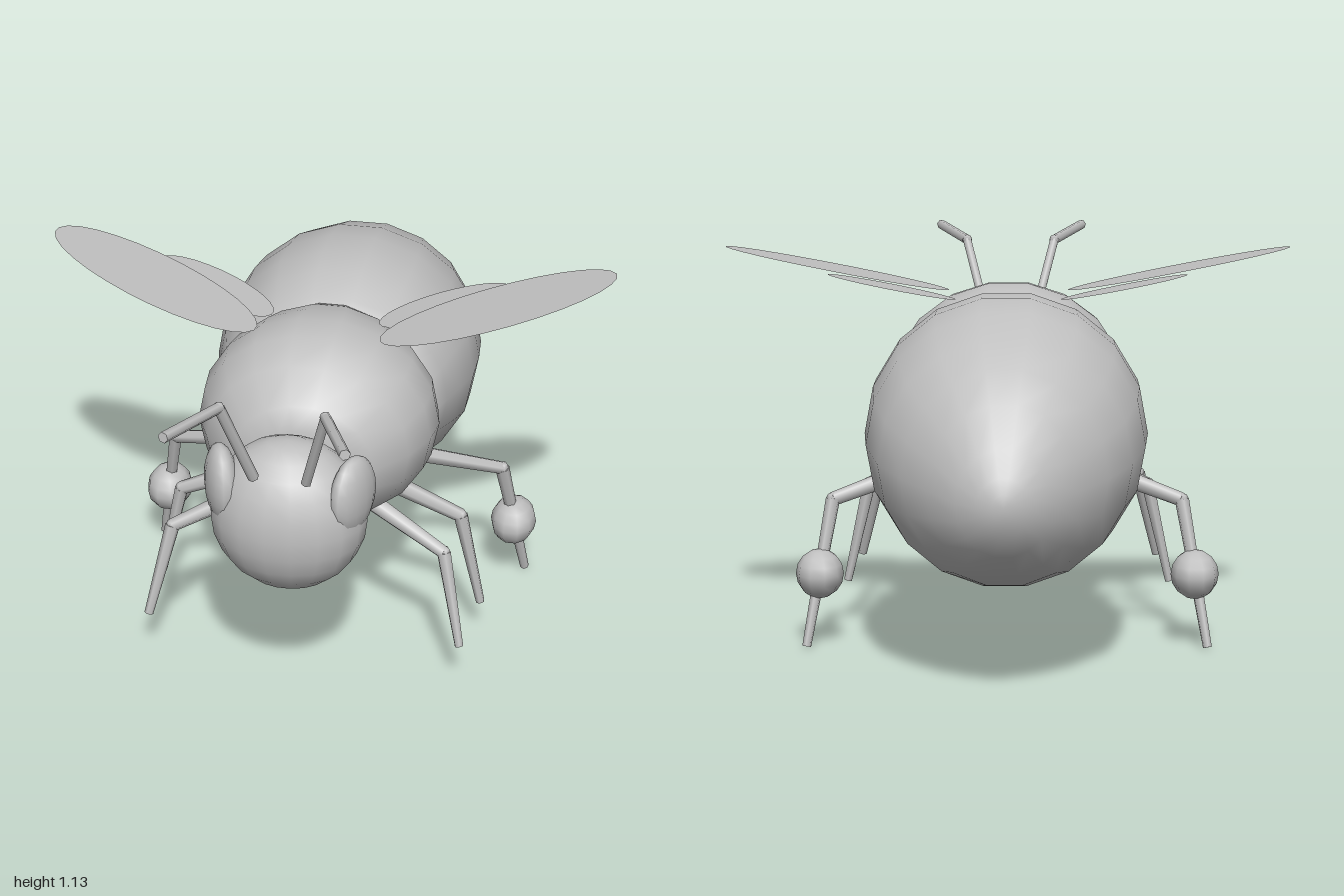
import * as THREE from 'three';

const bodyGrey = new THREE.MeshStandardMaterial({ color: 0xc0c0c0 });
bodyGrey.name = 'bodyGrey';
const wingGrey = bodyGrey.clone();
wingGrey.name = 'wingGrey';
wingGrey.side = THREE.DoubleSide;

// Closed smooth body from sections [z, top, bottom, halfWidth], front to back
function sectionBody(sections, sides = 18) {
  const pos = [], index = [];
  for (const [z, top, bottom, w] of sections) {
    for (let j = 0; j < sides; j++) {
      const t = (j / sides) * Math.PI * 2;
      pos.push(w * Math.cos(t), (top + bottom) / 2 + ((top - bottom) / 2) * Math.sin(t), z);
    }
  }
  const n = sections.length, front = n * sides, back = front + 1;
  for (const s of [sections[0], sections[n - 1]]) pos.push(0, (s[1] + s[2]) / 2, s[0]);
  for (let j = 0; j < sides; j++) {
    const k = (j + 1) % sides, last = (n - 1) * sides;
    for (let i = 0; i < n - 1; i++) {
      const a = i * sides + j, b = i * sides + k, c = a + sides, d = b + sides;
      index.push(a, c, b, b, c, d);
    }
    index.push(front, j, k, back, last + k, last + j);
  }
  const geo = new THREE.BufferGeometry();
  geo.setAttribute('position', new THREE.Float32BufferAttribute(pos, 3));
  geo.setIndex(index);
  geo.computeVertexNormals();
  return geo;
}

function add(parent, name, geometry, material = bodyGrey) {
  const mesh = new THREE.Mesh(geometry, material);
  mesh.name = name;
  parent.add(mesh);
  return mesh;
}

function ellipsoid(parent, name, center, radii, ws = 18, hs = 12) {
  const mesh = add(parent, name, new THREE.SphereGeometry(1, ws, hs));
  mesh.position.set(...center);
  mesh.scale.set(...radii);
  return mesh;
}

// Six-sided tapered rod between two points
function rod(parent, name, from, to, r0, r1) {
  const a = new THREE.Vector3(...from), b = new THREE.Vector3(...to);
  const dir = b.clone().sub(a);
  const geo = new THREE.CylinderGeometry(r1, r0, dir.length(), 6);
  const mesh = add(parent, name, geo);
  mesh.position.copy(a).add(b).multiplyScalar(0.5);
  mesh.quaternion.setFromUnitVectors(new THREE.Vector3(0, 1, 0), dir.normalize());
}

// Flat elliptical wing, swept back and rising outwards
function wing(parent, name, side, [cx, cz], length, width, lift) {
  const geo = new THREE.CircleGeometry(1, 28);
  geo.scale(length, width, 1);
  geo.rotateX(-Math.PI / 2);
  geo.rotateY(0.385);
  geo.translate(cx, 0, cz);
  const p = geo.attributes.position;
  for (let i = 0; i < p.count; i++) {
    p.setY(i, lift + 0.225 * p.getX(i));
  }
  geo.computeVertexNormals();
  if (side < 0) {
    // Mirror across x and restore the face order
    geo.scale(-1, 1, 1);
    geo.index.array.reverse();
    geo.computeVertexNormals();
  }
  add(parent, name, geo, wingGrey);
}

export function createModel() {
  const bee = new THREE.Group();
  bee.name = 'insect';

  // Body
  add(bee, 'abdomen', sectionBody([
    [0.02, 0.82, 0.47, 0.24], [-0.04, 0.92, 0.41, 0.31], [-0.1, 0.965, 0.365, 0.335],
    [-0.2, 1.0, 0.31, 0.362], [-0.3, 1.012, 0.272, 0.385], [-0.42, 1.008, 0.263, 0.386],
    [-0.55, 0.98, 0.26, 0.375], [-0.7, 0.92, 0.263, 0.335], [-0.8, 0.855, 0.285, 0.27],
    [-0.88, 0.775, 0.33, 0.2], [-0.95, 0.67, 0.39, 0.125], [-0.985, 0.6, 0.45, 0.07],
    [-1.0, 0.56, 0.49, 0.03],
  ]));
  add(bee, 'thorax', sectionBody([
    [0.41, 0.82, 0.58, 0.12], [0.38, 0.88, 0.52, 0.2], [0.3, 0.96, 0.46, 0.285],
    [0.2, 1.0, 0.42, 0.33], [0.1, 1.005, 0.4, 0.34], [0.02, 0.99, 0.415, 0.325],
    [-0.05, 0.97, 0.46, 0.28], [-0.085, 0.955, 0.52, 0.22],
  ]));
  ellipsoid(bee, 'head', [0, 0.66, 0.565], [0.215, 0.223, 0.165]);

  // Hip, knee and foot of each leg on the left side
  const legs = {
    frontLeg: [[0.16, 0.52, 0.24], [0.39, 0.41, 0.31], [0.45, 0.15, 0.385]],
    middleLeg: [[0.16, 0.52, 0.11], [0.41, 0.41, 0.11], [0.475, 0.12, 0.11]],
    backLeg: [[0.16, 0.52, -0.04], [0.495, 0.41, -0.17], [0.565, 0.005, -0.27]],
  };

  for (const side of [1, -1]) {
    const label = side > 0 ? 'left' : 'right';
    const half = new THREE.Group();
    half.name = label + 'Side';
    bee.add(half);
    const m = ([x, y, z]) => [side * x, y, z];

    for (const [name, [hip, knee, foot]] of Object.entries(legs)) {
      rod(half, name + 'Upper', m(hip), m(knee), 0.028, 0.02);
      rod(half, name + 'Lower', m(knee), m(foot), 0.021, 0.013);
      ellipsoid(half, name + 'Knee', m(knee), [0.02, 0.02, 0.02], 6, 4);
    }
    ellipsoid(half, 'pollenBall', m([0.53, 0.205, -0.217]), [0.068, 0.07, 0.086], 10, 8);

    const eye = ellipsoid(half, 'eye', m([0.178, 0.75, 0.59]), [0.045, 0.113, 0.092], 14, 10);
    eye.rotation.y = -side * 0.4;

    const base = [0.07, 0.83, 0.68], bend = [0.138, 1.085, 0.768], tip = [0.228, 1.12, 0.995];
    rod(half, 'antennaLower', m(base), m(bend), 0.015, 0.015);
    rod(half, 'antennaUpper', m(bend), m(tip), 0.015, 0.015);
    ellipsoid(half, 'antennaJoint', m(bend), [0.016, 0.016, 0.016], 6, 4);

    wing(half, 'foreWing', side, [0.487, 0.032], 0.335, 0.132, 0.94);
    wing(half, 'hindWing', side, [0.33, -0.043], 0.19, 0.09, 0.928);
  }
  return bee;
}
